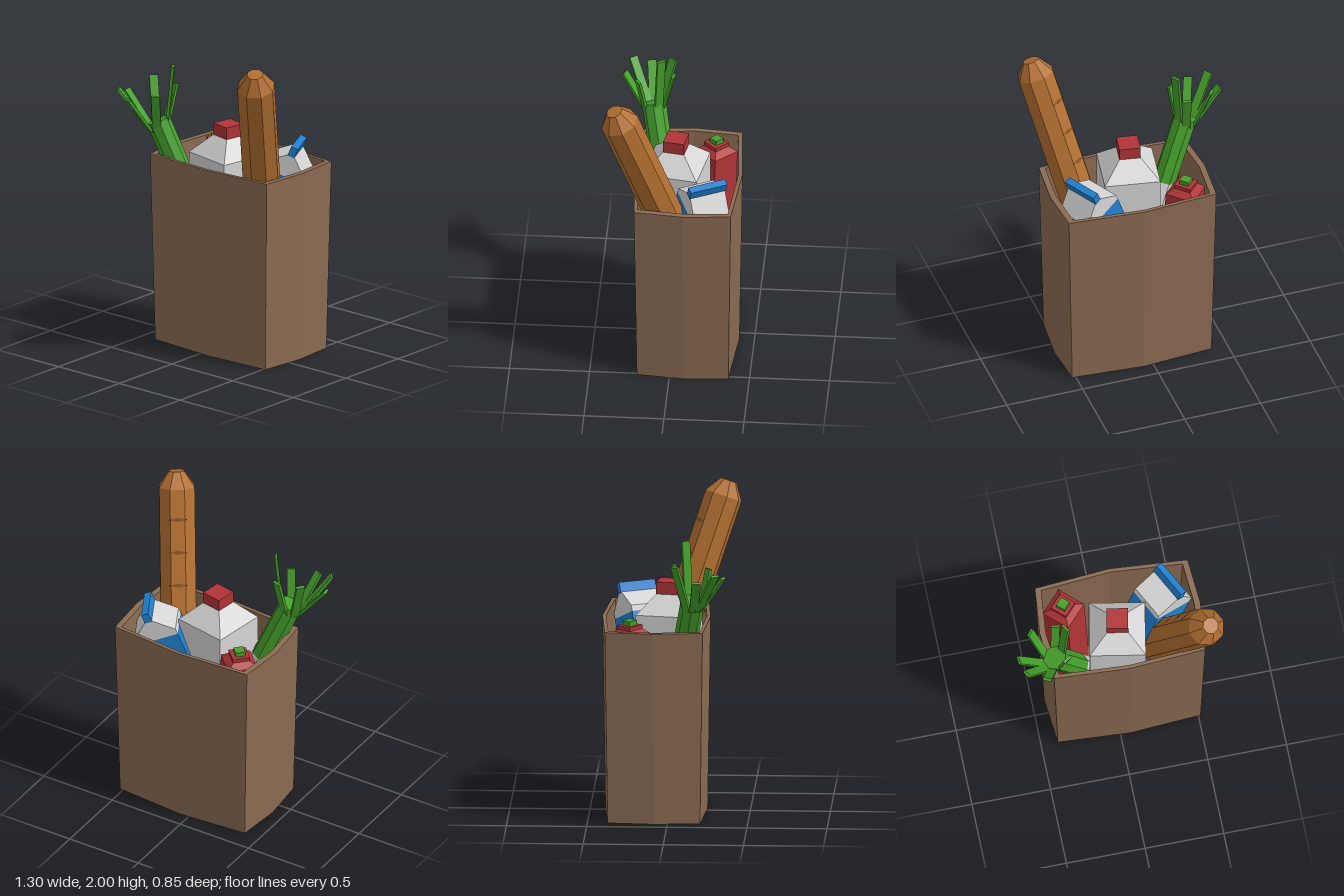
import * as THREE from 'three';

const mat = (name, color) => {
  const m = new THREE.MeshStandardMaterial({ color });
  m.name = name;
  return m;
};

// facet normals for the low-poly look
function flat(geometry) {
  const g = geometry.index ? geometry.toNonIndexed() : geometry;
  g.computeVertexNormals();
  return g;
}

// closed prism with regular sides from [radius, height] pairs, bottom to top
function prism(sides, profile) {
  const pts = [[0, profile[0][1]], ...profile, [0, profile[profile.length - 1][1]]]
    .map(([r, y]) => new THREE.Vector2(r, y));
  return flat(new THREE.LatheGeometry(pts, sides, Math.PI / sides));
}

// square version, given half widths
const squarePrism = (profile) => prism(4, profile.map(([h, y]) => [h * Math.SQRT2, y]));

function add(parent, name, geometry, material) {
  const mesh = new THREE.Mesh(geometry, material);
  mesh.name = name;
  parent.add(mesh);
  return mesh;
}

// group standing at base, its +y axis leaning toward tip; returns its length too
function leaning(parent, name, base, tip) {
  const a = new THREE.Vector3(...base), d = new THREE.Vector3(...tip).sub(a);
  const g = new THREE.Group();
  g.name = name;
  g.position.copy(a);
  g.rotation.set(Math.atan2(Math.hypot(d.x, d.z), d.y), Math.atan2(d.x, d.z), 0, 'YXZ');
  parent.add(g);
  return [g, d.length()];
}

// open bag as a chain of rings: underside, outer wall, rim, inner wall, floor
function bagGeometry() {
  const outline = [[-0.42, -0.39], [0.06, -0.425], [0.55, -0.385], [0.572, -0.09],
    [0.54, 0.22], [0.06, 0.25], [-0.42, 0.22], [-0.45, -0.09]];
  const cx = 0.06, cz = -0.085, n = outline.length;
  const rings = [[0, 0, 0], [0.945, 0.945, 0], [1, 1, 1.225], [0.925, 0.93, 1.225],
    [0.83, 0.81, 0.04], [0, 0, 0.04]];
  const pos = [], index = [];
  for (const [sx, sz, y] of rings) {
    for (const [x, z] of outline) {
      pos.push(cx + (x - cx) * sx, y + (y > 1 ? (x - cx) * 0.008 : 0), cz + (z - cz) * sz);
    }
  }
  for (let r = 0; r < rings.length - 1; r++) {
    for (let i = 0; i < n; i++) {
      const a = r * n + i, b = r * n + (i + 1) % n;
      if (r > 0) index.push(a, a + n, b);
      if (r < rings.length - 2) index.push(b, a + n, b + n);
      if (r === 0) index.push(a, a + n, b + n);
    }
  }
  const g = new THREE.BufferGeometry();
  g.setAttribute('position', new THREE.Float32BufferAttribute(pos, 3));
  g.setIndex(index);
  return flat(g);
}

// solid with a side profile in the lean direction, extruded across it
function crossExtrude(points, depth) {
  const s = new THREE.Shape(points.map(([x, y]) => new THREE.Vector2(x, y)));
  const g = new THREE.ExtrudeGeometry(s, { depth, bevelEnabled: false });
  g.translate(0, 0, -depth / 2);
  g.rotateY(Math.PI / 2);
  return flat(g);
}

export function createModel() {
  const paper = mat('paperBrown', 0x8b6b52);
  const crust = mat('crustBrown', 0xb37031);
  const score = mat('scoreBrown', 0x8a5223);
  const green = mat('leafGreen', 0x45a02b);
  const white = mat('packWhite', 0xd6d6d6);
  const red = mat('capRed', 0xb03437);
  const blue = mat('cartonBlue', 0x2180d0);

  const model = new THREE.Group();
  model.name = 'groceryBag';
  add(model, 'paperBag', bagGeometry(), paper);

  // bread stick with scores on its upper side
  const [bread, breadLen] = leaning(model, 'bread', [0.17, 0.3, -0.226], [0.55, 1.985, 0.342]);
  const r = 0.12;
  add(bread, 'loaf', prism(8, [[0.05, 0], [r, 0.1], [r, breadLen - 0.1], [0.052, breadLen]]), crust);
  const diamond = flat(new THREE.ShapeGeometry(new THREE.Shape([[-0.06, 0], [0, -0.014], [0.06, 0], [0, 0.014]]
    .map(([x, y]) => new THREE.Vector2(x, y)))));
  diamond.rotateY(Math.PI);
  for (let i = 0; i < 4; i++) {
    const cut = add(bread, 'breadScore', diamond, score);
    cut.position.set(0, breadLen - 0.29 - i * 0.21, -r * Math.cos(Math.PI / 8) - 0.004);
  }

  // milk bottle
  const bottle = new THREE.Group();
  bottle.name = 'milkBottle';
  bottle.position.set(0.027, 0, -0.008);
  bottle.rotation.y = -0.18;
  model.add(bottle);
  add(bottle, 'bottleBody', squarePrism([[0.175, 0.05], [0.175, 1.265], [0.065, 1.385]]), white);
  add(bottle, 'bottleCap', squarePrism([[0.067, 1.383], [0.067, 1.46]]), red);

  // gable-top carton
  const [carton] = leaning(model, 'carton', [-0.04, 0.1, 0], [0.36, 1.21, -0.205]);
  const w = 0.14, eave = 1.197, box = (y0, y1) => [[-w, y0], [w, y0], [w, y1], [-w, y1]];
  add(carton, 'cartonBase', crossExtrude(box(0, 0.4), 0.235), white);
  add(carton, 'cartonBand', crossExtrude(box(0.4, 1.16), 0.235), blue);
  add(carton, 'cartonRoof', crossExtrude(
    [[-w, 1.16], [w, 1.16], [w, eave], [0.018, eave + 0.11], [-0.018, eave + 0.11], [-w, eave]], 0.235), white);
  const fin = add(carton, 'cartonRidge', flat(new THREE.BoxGeometry(0.245, 0.065, 0.045)), blue);
  fin.position.y = eave + 0.135;

  // sauce bottle
  const [sauce] = leaning(model, 'sauceBottle', [-0.235, 0.05, -0.205], [-0.272, 1.26, -0.24]);
  add(sauce, 'sauceBody', squarePrism([[0.094, 0], [0.094, 1.13], [0.055, 1.165], [0.055, 1.19]]), red);
  add(sauce, 'sauceCap', squarePrism([[0.031, 1.185], [0.031, 1.22]]), green);

  // leek: pale stem, green stalk and spread leaves
  const top = new THREE.Vector3(-0.405, 1.43, 0.16);
  const down = new THREE.Vector3(0.4, -1, -0.18);
  const at = (d) => top.clone().addScaledVector(down, d).toArray();
  const [stem, stemLen] = leaning(model, 'leekStem', at(1.15), at(0.4));
  add(stem, 'leekWhite', prism(8, [[0.07, 0], [0.072, stemLen]]), white);
  const [stalk, stalkLen] = leaning(model, 'leekStalk', at(0.4), at(0));
  add(stalk, 'leekGreen', prism(8, [[0.074, 0], [0.076, stalkLen]]), green);

  const tips = [[-0.64, 1.59, 0.19], [-0.61, 1.63, 0.305], [-0.49, 1.59, 0.35], [-0.345, 1.62, 0.255],
    [-0.54, 1.67, 0.05], [-0.375, 1.65, 0.035], [-0.325, 1.79, 0.11]];
  for (const t of tips) {
    const tip = new THREE.Vector3(...t);
    const out = tip.clone().sub(top).setY(0).normalize();
    const base = top.clone().addScaledVector(out, 0.055);
    base.y -= 0.06;
    const [leaf, len] = leaning(model, 'leekLeaf', base.toArray(), t);
    const blade = flat(new THREE.BoxGeometry(0.055, len, 0.018));
    blade.translate(0, len / 2, 0);
    add(leaf, 'leafBlade', blade, green);
  }
  return model;
}
